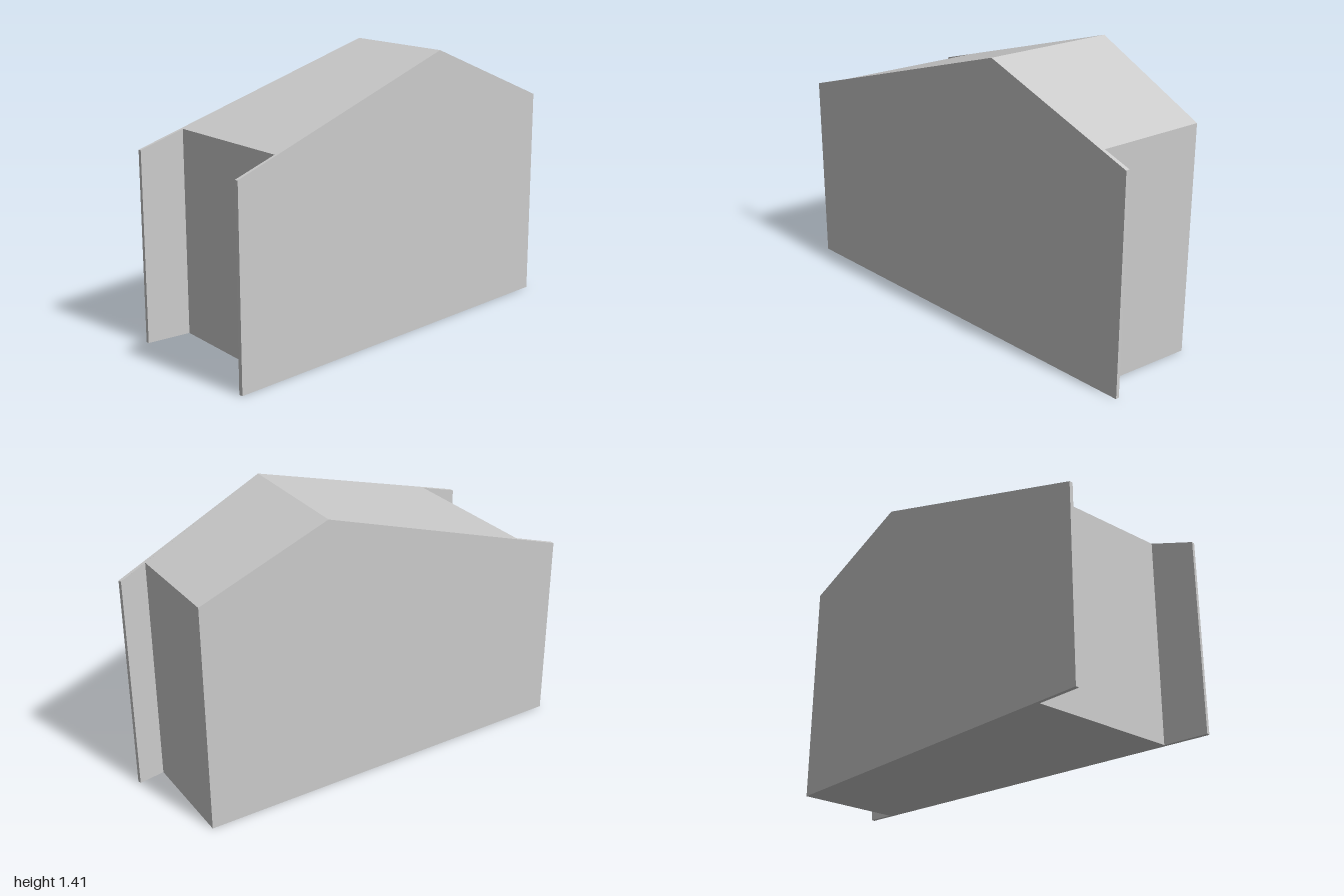
import * as THREE from 'three';

const grey = new THREE.MeshStandardMaterial({ color: 0xcccccc });
grey.name = 'plainGrey';

// Ridge ends and the two plan halves [x, z], counter-clockwise from above
const ridgeBack = [0.05, -0.5445];
const ridgeFront = [0.45, -0.026];
const westPlan = [
  ridgeBack, [-1, 0.28], [-0.987, 0.295], [-0.805, 0.15],
  [-0.315, 0.765], [-0.475, 0.93], [-0.46, 0.943], ridgeFront,
];
const eastPlan = [
  ridgeFront, [1, -0.612], [0.985, -0.625],
  [0.895, -0.525], [0.56, -0.945], ridgeBack,
];

// Roof height falls away from the ridge at a different pitch on each side
function roofHeight([x, z]) {
  const d = (x - ridgeBack[0]) * 0.79 - (z - ridgeBack[1]) * 0.613;
  return 1.415 - (d < 0 ? -d * 0.33 : d * 0.393);
}

const floorPoint = (p) => [p[0], 0, p[1]];
const roofPoint = (p) => [p[0], roofHeight(p), p[1]];

function makeMesh(name, points) {
  const geometry = new THREE.BufferGeometry();
  geometry.setAttribute('position', new THREE.Float32BufferAttribute(points.flat(), 3));
  geometry.computeVertexNormals();
  const mesh = new THREE.Mesh(geometry, grey);
  mesh.name = name;
  return mesh;
}

// Triangulated plan, lifted to the floor or the roof
function cap(plan, lift, faceDown) {
  const outline = plan.map(([x, z]) => new THREE.Vector2(x, -z));
  const faces = THREE.ShapeUtils.triangulateShape(outline, []);
  return faces.flatMap(([a, b, c]) => (faceDown ? [c, b, a] : [a, b, c]).map((i) => lift(plan[i])));
}

export function createModel() {
  const building = new THREE.Group();
  building.name = 'gabledBuilding';

  // Walls all round, including the thin projecting fins
  const outline = [...westPlan.slice(0, -1), ...eastPlan.slice(0, -1)];
  const walls = outline.flatMap((a, i) => {
    const b = outline[(i + 1) % outline.length];
    return [floorPoint(a), floorPoint(b), roofPoint(b), floorPoint(a), roofPoint(b), roofPoint(a)];
  });
  building.add(makeMesh('walls', walls));

  // Two roof slopes and the underside
  building.add(makeMesh('longRoofSlope', cap(westPlan, roofPoint, false)));
  building.add(makeMesh('shortRoofSlope', cap(eastPlan, roofPoint, false)));
  building.add(makeMesh('floor', cap(outline, floorPoint, true)));
  return building;
}
